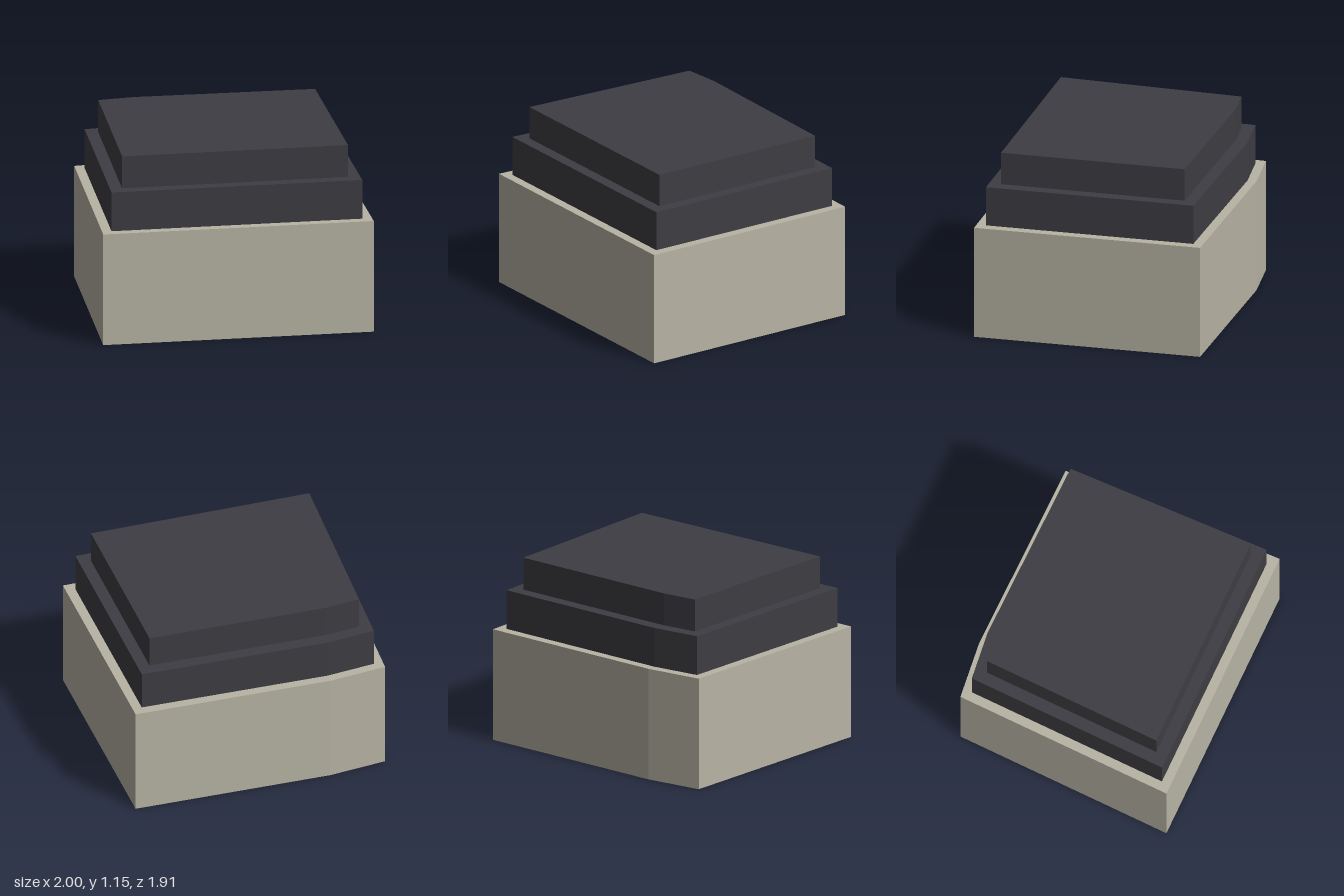
import * as THREE from 'three';

// Vertical prism from an x,z outline between two heights
function prism(name, outline, bottom, top, material) {
  const shape = new THREE.Shape(outline.map(([x, z]) => new THREE.Vector2(x, -z)));
  const geometry = new THREE.ExtrudeGeometry(shape, { depth: top - bottom, bevelEnabled: false });
  geometry.rotateX(-Math.PI / 2);
  const mesh = new THREE.Mesh(geometry, material);
  mesh.name = name;
  mesh.position.y = bottom;
  return mesh;
}

export function createModel() {
  const stone = new THREE.MeshStandardMaterial({ name: 'warm grey stone', color: 0xb8b4a5 });
  const slate = new THREE.MeshStandardMaterial({ name: 'dark slate', color: 0x3e3d43 });

  const group = new THREE.Group();
  group.name = 'steppedBuilding';
  group.add(
    // Wide walls
    prism('walls', [[-1, -0.357], [-0.68, -0.525], [0.467, -0.957], [1, 0.348], [-0.54, 0.955]], 0, 0.7, stone),
    // Two set-back roof tiers
    prism('lowerRoof', [[-0.93, -0.33], [-0.66, -0.473], [0.435, -0.882], [0.922, 0.316], [-0.505, 0.88]], 0.7, 0.945, slate),
    prism('upperRoof', [[-0.838, -0.293], [-0.64, -0.397], [0.395, -0.787], [0.825, 0.275], [-0.46, 0.785]], 0.945, 1.147, slate),
  );
  return group;
}
